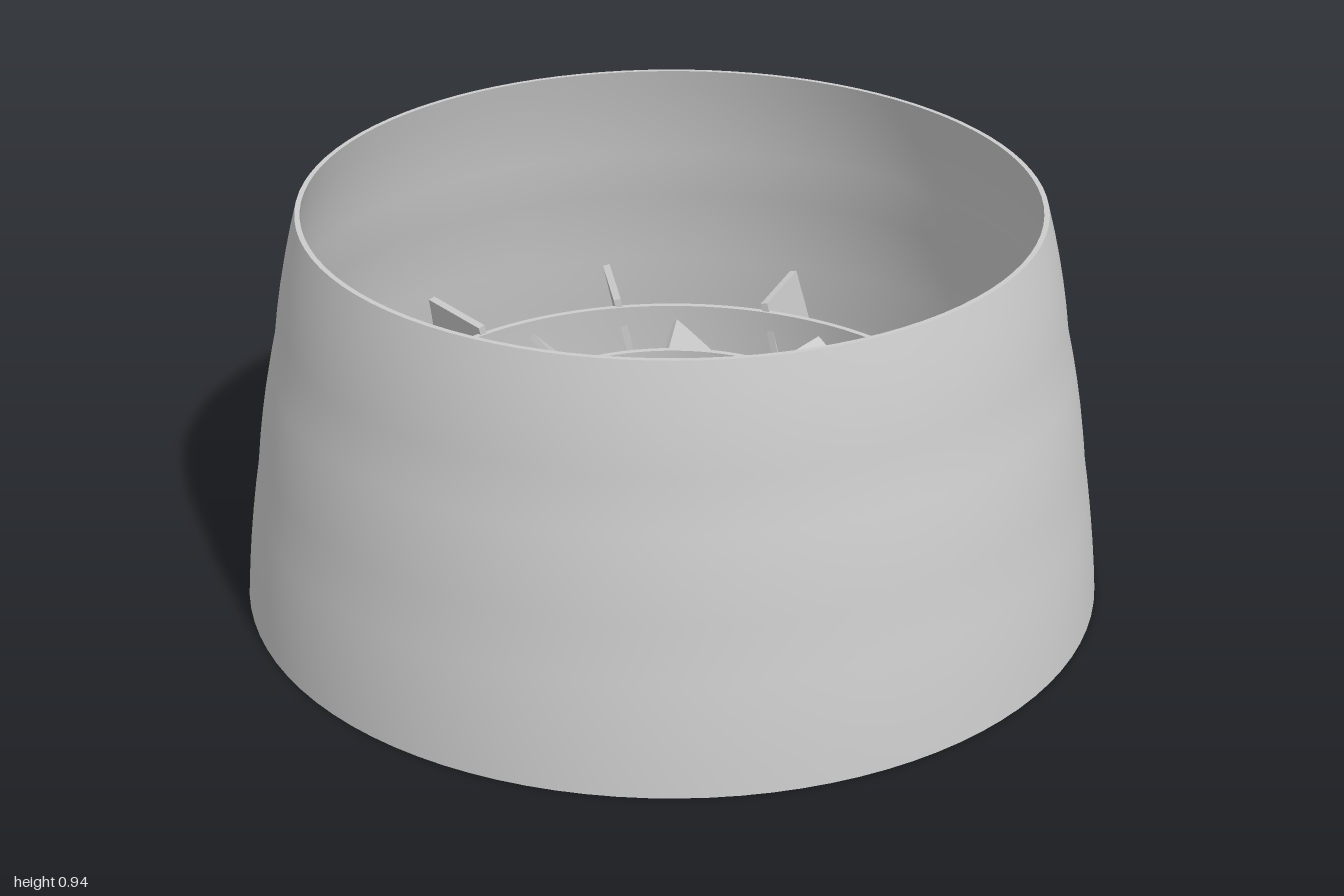
import * as THREE from 'three';
import { toCreasedNormals } from 'three/addons/utils/BufferGeometryUtils.js';

const material = new THREE.MeshStandardMaterial({ color: 0xcccccc });

// Closed wall of revolution; each band between two [radius, y] stations bulges slightly
function wall(name, stations, thickness) {
  const steps = 5;
  const outer = [new THREE.Vector2(...stations[0])];
  for (let i = 1; i < stations.length; i++) {
    const [r0, y0] = stations[i - 1];
    const [r1, y1] = stations[i];
    for (let s = 1; s <= steps; s++) {
      const t = s / steps;
      const ease = 0.6 * t + 0.4 * t * t;
      outer.push(new THREE.Vector2(r0 + (r1 - r0) * ease, y0 + (y1 - y0) * t));
    }
  }
  const inner = outer.map((p) => new THREE.Vector2(p.x - thickness, p.y)).reverse();
  const profile = [...outer, ...inner, outer[0].clone()];
  const geometry = toCreasedNormals(new THREE.LatheGeometry(profile, 96), 0.11);
  const mesh = new THREE.Mesh(geometry, material);
  mesh.name = name;
  return mesh;
}

// Flat radial plate, tilted about its radial axis; ends may differ at top and bottom
function vaneGeometry({ innerR, outerTop, outerBottom, height, thickness, tilt, y }) {
  const geometry = new THREE.BoxGeometry(1, height, thickness);
  const pos = geometry.attributes.position;
  for (let i = 0; i < pos.count; i++) {
    const end = pos.getY(i) > 0 ? outerTop : outerBottom;
    pos.setX(i, pos.getX(i) > 0 ? end : innerR);
  }
  geometry.rotateX(-tilt);
  geometry.translate(0, y, 0);
  geometry.computeVertexNormals();
  return geometry;
}

// Twelve equal vanes around the axis
function vaneRing(name, options, offset) {
  const group = new THREE.Group();
  group.name = name + 's';
  const geometry = vaneGeometry(options);
  for (let i = 0; i < 12; i++) {
    const vane = new THREE.Mesh(geometry, material);
    vane.name = name;
    vane.rotation.y = offset + (i * Math.PI) / 6;
    group.add(vane);
  }
  return group;
}

export function createModel() {
  const model = new THREE.Group();
  model.name = 'ductedNozzle';

  // Tall outer shell in three bands, with two short rings nested inside
  model.add(
    wall('outerShell', [[1, 0], [0.96, 0.32], [0.905, 0.64], [0.845, 0.94]], 0.012),
    wall('middleRing', [[0.755, 0.035], [0.73, 0.35]], 0.015),
    wall('innerRing', [[0.453, 0.08], [0.432, 0.365]], 0.015),
  );

  // Broad, strongly pitched vanes between the two rings
  model.add(vaneRing('innerVane', {
    innerR: 0.412, outerTop: 0.73, outerBottom: 0.735,
    height: 0.215, thickness: 0.015, tilt: Math.PI / 4, y: 0.23,
  }, 0));

  // Steep, narrow vanes holding the middle ring in the shell
  model.add(vaneRing('outerVane', {
    innerR: 0.72, outerTop: 0.942, outerBottom: 0.982,
    height: 0.32, thickness: 0.018, tilt: 0.22, y: 0.215,
  }, Math.PI / 12));

  return model;
}
